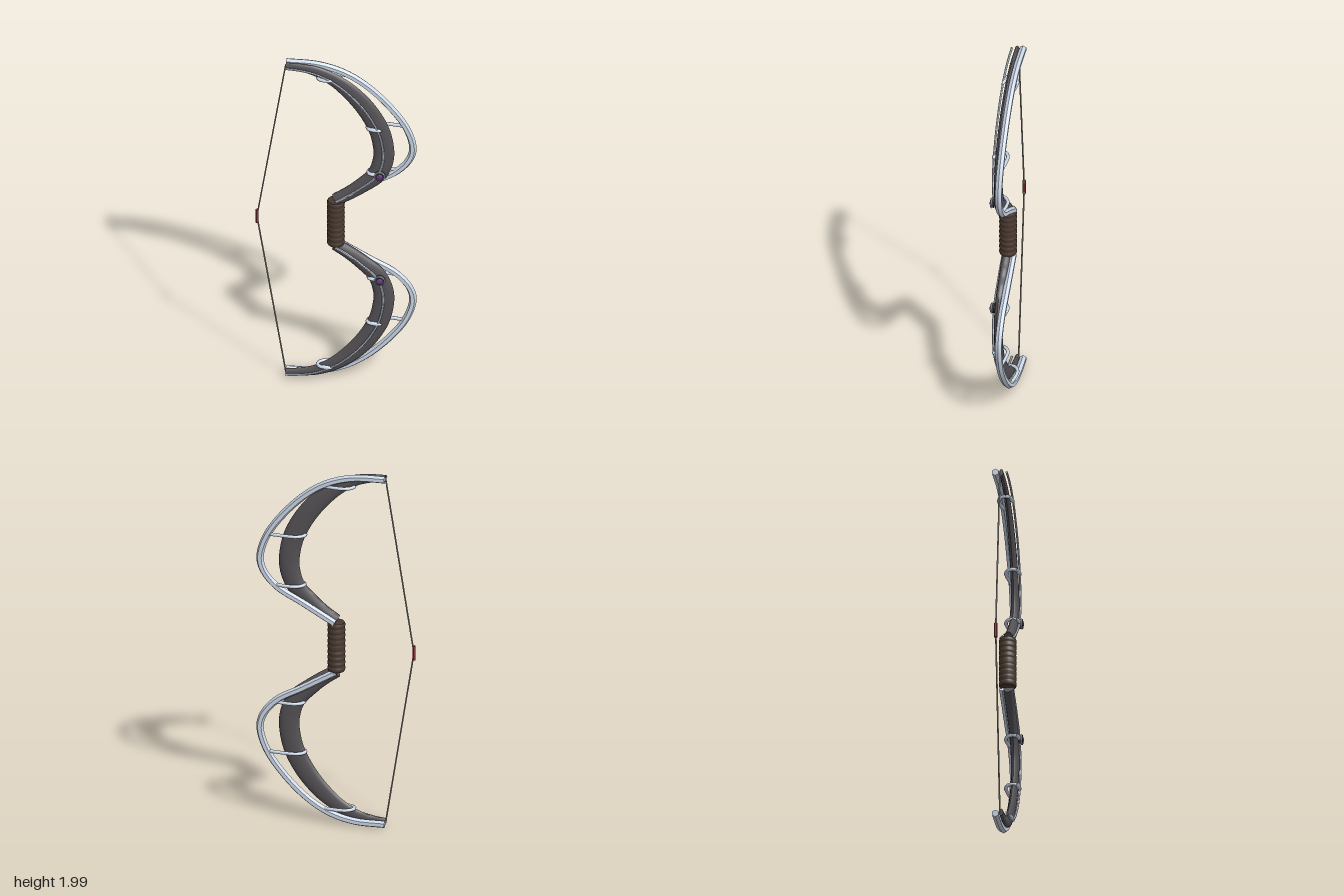
import * as THREE from 'three';
import { toCreasedNormals } from 'three/addons/utils/BufferGeometryUtils.js';

const MID = 1.004; // height of the mirror line between the two limbs
const mat = (color) => new THREE.MeshStandardMaterial({ color });
const dark = mat(0x555256), steel = mat(0xccd8e8), leather = mat(0x4a3a30);
const cord = mat(0x9a948a), red = mat(0x8a3438), purple = mat(0x6a3c86), iron = mat(0x3a383c);

function add(parent, name, geometry, material) {
  const mesh = new THREE.Mesh(geometry, material);
  mesh.name = name;
  parent.add(mesh);
  return mesh;
}

// Sweeps an elliptical section along a curve lying in an upright plane.
// size(t) gives [half width in the plane, half depth in z, z of the centre].
function sweep(points, side, size, sides, steps, crease) {
  const curve = new THREE.CatmullRomCurve3(
    points.map(([x, y]) => new THREE.Vector3(x, MID + side * (y - MID), 0)));
  const pos = [], index = [];
  for (let i = 0; i <= steps; i++) {
    const t = i / steps, p = curve.getPointAt(t), d = curve.getTangentAt(t);
    const [w, h, z] = size(t);
    for (let j = 0; j < sides; j++) {
      const a = j / sides * Math.PI * 2, c = Math.cos(a) * w;
      pos.push(p.x - d.y * c, p.y + d.x * c, z + Math.sin(a) * h);
      if (i === steps) continue;
      const k = (j + 1) % sides, m = i * sides, n = m + sides;
      index.push(m + j, m + k, n + j, m + k, n + k, n + j);
    }
  }
  // end caps
  const last = steps * sides;
  for (let j = 1; j < sides - 1; j++) {
    index.push(0, j + 1, j, last, last + j, last + j + 1);
  }
  const g = new THREE.BufferGeometry();
  g.setAttribute('position', new THREE.Float32BufferAttribute(pos, 3));
  g.setIndex(index);
  return toCreasedNormals(g, crease);
}

// Linear interpolation through evenly spaced values
function ramp(values, t) {
  const f = t * (values.length - 1), i = Math.min(Math.floor(f), values.length - 2);
  return THREE.MathUtils.lerp(values[i], values[i + 1], f - i);
}

// Upper half paths, from the grip to the tip
const limbPath = [[0, 1.148], [0.065, 1.19], [0.135, 1.246], [0.215, 1.325], [0.25, 1.43],
  [0.247, 1.52], [0.22, 1.624], [0.14, 1.763], [0.022, 1.884], [-0.09, 1.949], [-0.18, 1.971],
  [-0.262, 1.978]];
const railPath = [[0.005, 1.145], [0.177, 1.247], [0.31, 1.325], [0.383, 1.413], [0.4, 1.488],
  [0.365, 1.61], [0.274, 1.743], [0.151, 1.866], [0.034, 1.939], [-0.098, 1.977], [-0.262, 1.982]];

// Clamps: height, inner edge of limb, front end, rail end
const clamps = [[1.337, 0.17, 0.235, 0.325], [1.62, 0.165, 0.235, 0.363], [1.917, -0.095, -0.02, 0.07]];

function buildHalf(side) {
  const half = new THREE.Group();
  half.name = side > 0 ? 'upperLimb' : 'lowerLimb';
  const at = (y) => MID + side * (y - MID);

  add(half, 'limbBody', sweep(limbPath, side, (t) => [
    ramp([0.034, 0.04, 0.049, 0.054, 0.055, 0.055, 0.053, 0.048, 0.038, 0.027, 0.019], t),
    ramp([0.026, 0.024, 0.021, 0.019, 0.017, 0.014, 0.011], t), 0.003], 14, 56, 0.9), dark);
  add(half, 'frontRib', sweep(limbPath, side, (t) => [
    0.006, 0.006, ramp([0.027, 0.03, 0.031, 0.032, 0.032, 0.032], t)], 6, 48, 0.6), steel);
  add(half, 'outerRail', sweep(railPath, side, () => [0.0195, 0.0195, -0.028], 6, 56, 0.6), steel);

  // hooks that wrap the inner edge of the limb and run back to the rail
  for (const [y, inner, front, end] of clamps) {
    const path = new THREE.CatmullRomCurve3([
      [front - 0.02, 0.03], [inner + 0.015, 0.023], [inner, 0.004], [inner + 0.01, -0.022],
      [inner + 0.04, -0.039], [inner + 0.08, -0.041], [end, -0.028],
    ].map(([x, z]) => new THREE.Vector3(x, at(y), z)));
    add(half, 'clamp', new THREE.TubeGeometry(path, 28, 0.0095, 8), steel);
    // pointed claw on the front
    const claw = add(half, 'clampClaw', new THREE.SphereGeometry(1, 12, 8), steel);
    claw.scale.set(0.042, 0.011, 0.011);
    claw.position.set((inner + front) / 2 + 0.004, at(y), 0.028);
    claw.rotation.y = -0.12;
  }

  // round jewel and its setting
  const jewel = new THREE.Group();
  jewel.name = 'jewel';
  jewel.position.set(0.234, at(1.336), 0.036);
  add(jewel, 'setting', new THREE.CylinderGeometry(0.024, 0.027, 0.02, 16).rotateX(Math.PI / 2), iron);
  add(jewel, 'settingRing', new THREE.TorusGeometry(0.0255, 0.004, 8, 20), steel).position.z = 0.004;
  const stone = add(jewel, 'stone', new THREE.SphereGeometry(0.018, 14, 10), purple);
  stone.scale.z = 0.4;
  stone.position.z = 0.008;
  half.add(jewel);

  // half of the string
  const line = new THREE.LineCurve3(new THREE.Vector3(-0.413, MID, -0.004),
    new THREE.Vector3(-0.262, at(1.982), -0.004));
  add(half, 'string', new THREE.TubeGeometry(line, 1, 0.0042, 6), cord);
  return half;
}

export function createModel() {
  const bow = new THREE.Group();
  bow.name = 'bow';
  bow.add(buildHalf(1), buildHalf(-1));

  // wrapped grip with shallow ribs
  const ribs = 9, per = 6, height = 0.274, profile = [new THREE.Vector2(0, -height / 2)];
  for (let i = 0; i <= ribs * per; i++) {
    const bulge = Math.abs(Math.sin(i / per * Math.PI));
    profile.push(new THREE.Vector2(0.0425 + 0.0045 * bulge, (i / (ribs * per) - 0.5) * height));
  }
  profile.push(new THREE.Vector2(0, height / 2));
  const grip = add(bow, 'grip', toCreasedNormals(new THREE.LatheGeometry(profile, 20), 0.9), leather);
  grip.position.y = MID;

  // red wrapping at the middle of the string
  const serving = add(bow, 'stringWrap',
    toCreasedNormals(new THREE.CylinderGeometry(0.009, 0.009, 0.08, 6), 0.5), red);
  serving.position.set(-0.413, MID, -0.004);
  return bow;
}
